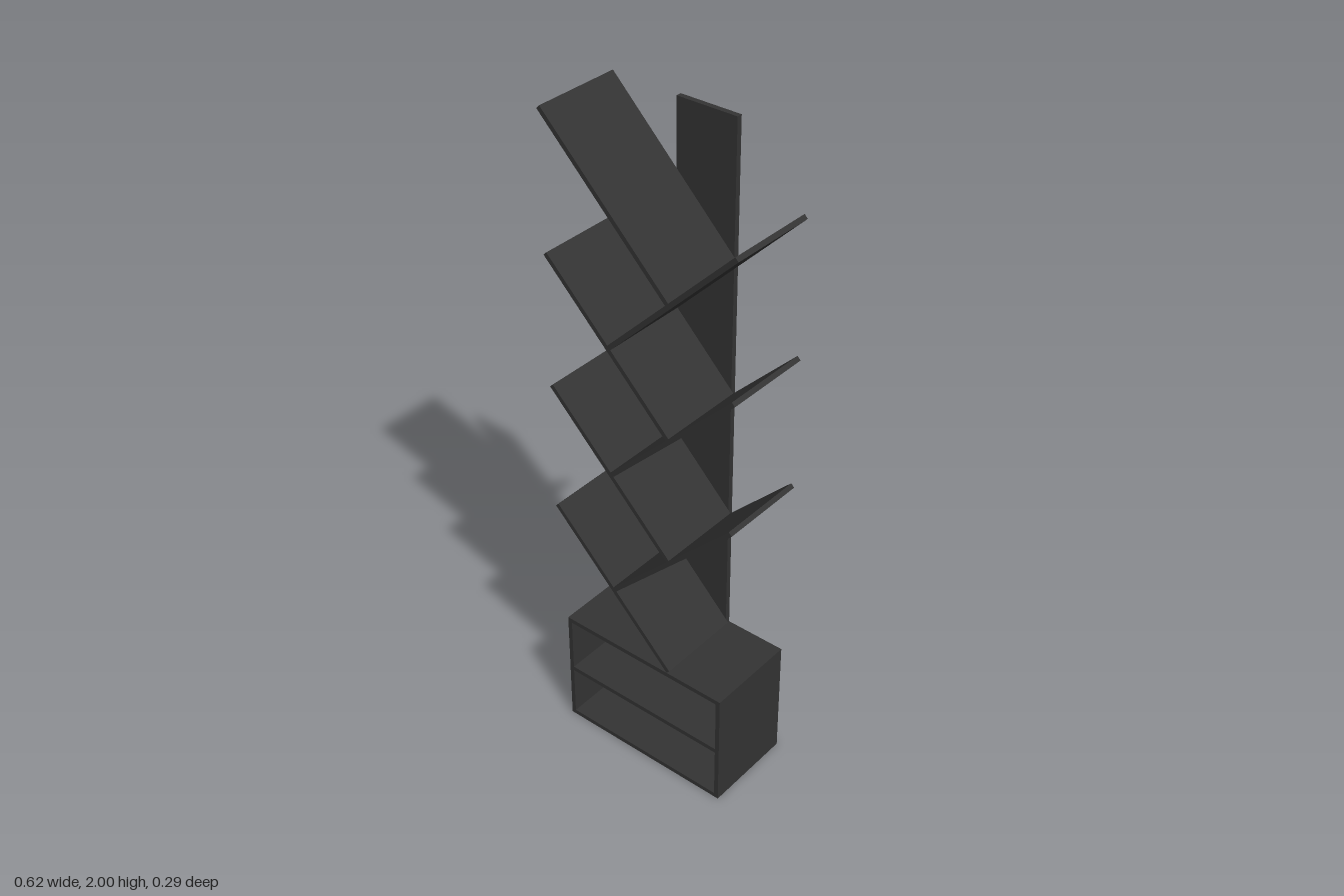
import * as THREE from 'three';

export function createModel() {
  const model = new THREE.Group();
  model.name = 'treeBookshelf';
  const black = new THREE.MeshStandardMaterial({ color: 0x333333 });
  black.name = 'charcoal board';

  // Board given by its limits on each axis
  function board(name, parent, x0, x1, y0, y1, z0, z1) {
    const mesh = new THREE.Mesh(new THREE.BoxGeometry(x1 - x0, y1 - y0, z1 - z0), black);
    mesh.position.set((x0 + x1) / 2, (y0 + y1) / 2, (z0 + z1) / 2);
    mesh.name = name;
    parent.add(mesh);
  }

  // Open-fronted base cabinet with one inner shelf
  const cabinet = new THREE.Group();
  cabinet.name = 'cabinet';
  model.add(cabinet);
  const w = 0.283, h = 0.382, d = 0.143, t = 0.014;
  board('cabinetBottom', cabinet, -w, w, 0, t, -d, d);
  board('cabinetTop', cabinet, -w, w, h - t, h, -d, d);
  board('cabinetRightSide', cabinet, -w, -w + t, t, h - t, -d, d);
  board('cabinetLeftSide', cabinet, w - t, w, t, h - t, -d, d);
  board('cabinetBack', cabinet, -w + t, w - t, t, h - t, -d, -d + t);
  board('cabinetShelf', cabinet, -w + t, w - t, 0.179, 0.193, -d + t, d);

  // Flat trunk behind the branches
  board('trunk', model, -0.095, 0.093, h, 1.99, -d, -0.127);

  // Branch shelves at 45 degrees, each resting on the one below
  function branch(name, side, topY) {
    const outer = new THREE.Vector2(side * 0.305, topY);
    const inner = new THREE.Vector2(-side * 0.096, topY - 0.401);
    const mesh = new THREE.Mesh(new THREE.BoxGeometry(outer.distanceTo(inner), t, 0.27), black);
    mesh.position.set((outer.x + inner.x) / 2, (outer.y + inner.y) / 2, 0.008);
    mesh.rotation.z = side * Math.PI / 4;
    mesh.name = name;
    model.add(mesh);
  }
  for (let i = 0; i < 4; i++) branch('rightBranchShelf', -1, 1.995 - i * 0.402);
  for (let i = 0; i < 3; i++) branch('leftBranchShelf', 1, 1.795 - i * 0.402);

  return model;
}
